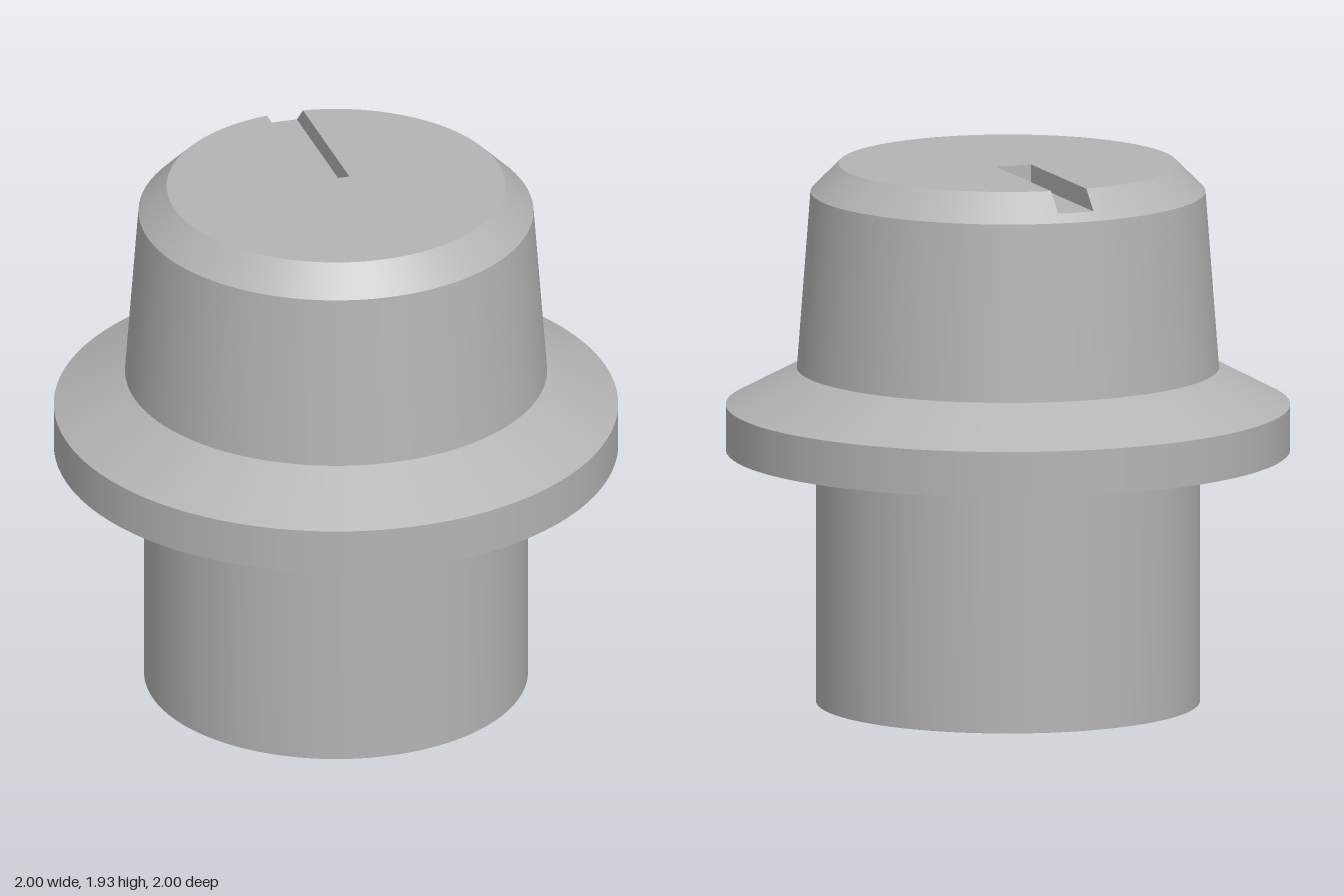
import * as THREE from 'three';
import { mergeGeometries, toCreasedNormals } from 'three/addons/utils/BufferGeometryUtils.js';

const SEG = 96;
const TOP = 1.933, CHAMFER = 1.833, FLOOR = 1.863; // heights of the cap
const R_TOP = 0.6, R_FLOOR = 0.67;                 // cap edge and slot mouth radii
const W = 0.067, Z_IN = 0.055;                     // slot half width and inner end

// Turned surface with sharp edges between successive [radius, height] points
function turned(points) {
  const bands = [];
  for (let i = 0; i < points.length - 1; i++) {
    bands.push(new THREE.LatheGeometry([points[i], points[i + 1]].map(p => new THREE.Vector2(...p)), SEG));
  }
  return mergeGeometries(bands);
}

// Flat horizontal face; shape y points to the back
function flat(shape, y) {
  return new THREE.ShapeGeometry(shape, SEG).rotateX(-Math.PI / 2).translate(0, y, 0);
}

// Flat quad, corners counter-clockwise
function quad(a, b, c, d) {
  const g = new THREE.BufferGeometry();
  g.setAttribute('position', new THREE.Float32BufferAttribute([a, b, c, a, c, d].flat(), 3));
  g.computeVertexNormals();
  return g;
}

// Upper part of the chamfer, opened at the back for the slot
function slottedChamfer() {
  const g = new THREE.LatheGeometry(
    [new THREE.Vector2(R_FLOOR, FLOOR), new THREE.Vector2(R_TOP, TOP)], SEG);
  const { position, normal, uv } = g.attributes;
  for (let i = 0; i < position.count; i++) {
    const r = Math.hypot(position.getX(i), position.getZ(i));
    const gap = Math.asin(W / r);
    const a = Math.PI + gap + uv.getX(i) * 2 * (Math.PI - gap);
    position.setXYZ(i, r * Math.sin(a), position.getY(i), r * Math.cos(a));
    normal.setXYZ(i, Math.sin(a) * Math.SQRT1_2, Math.SQRT1_2, Math.cos(a) * Math.SQRT1_2);
  }
  return g;
}

export function createModel() {
  const group = new THREE.Group();
  const grey = new THREE.MeshStandardMaterial({ color: 0xb4b4b4 });
  grey.name = 'plain grey';
  const add = (name, geometry) => {
    const mesh = new THREE.Mesh(geometry, grey);
    mesh.name = name;
    group.add(mesh);
  };

  // Stem with a D-shaped shaft hole
  const ring = new THREE.Shape().absarc(0, 0, 0.68, 0, Math.PI * 2);
  const hole = new THREE.Path();
  const flatAngle = Math.acos(0.26 / 0.517);
  hole.absarc(0, 0, 0.517, flatAngle, Math.PI * 2 - flatAngle);
  hole.closePath();
  ring.holes.push(hole);
  const stem = new THREE.ExtrudeGeometry(ring, { depth: 1, bevelEnabled: false, curveSegments: SEG });
  add('stem', toCreasedNormals(stem.rotateX(-Math.PI / 2), 0.6));
  add('shaftHoleEnd', new THREE.CircleGeometry(0.55, SEG).rotateX(Math.PI / 2).translate(0, 1, 0));

  // Flange and tapered grip
  add('flange', turned([[0.68, 0.904], [1, 0.904], [1, 1.067], [0.748, 1.2]]));
  add('grip', turned([[0.748, 1.2], [0.7, CHAMFER], [R_FLOOR, FLOOR]]));
  add('chamfer', slottedChamfer());

  // Top face, notched for the slot
  const topGap = Math.asin(W / R_TOP);
  const top = new THREE.Shape();
  top.absarc(0, 0, R_TOP, Math.PI / 2 + topGap, Math.PI * 2.5 - topGap);
  top.lineTo(W, Z_IN);
  top.lineTo(-W, Z_IN);
  top.closePath();
  add('topFace', flat(top, TOP));

  // Pointer slot: floor, two sides and inner end
  const mouthGap = Math.asin(W / R_FLOOR);
  const floor = new THREE.Shape();
  floor.absarc(0, 0, R_FLOOR, Math.PI / 2 - mouthGap, Math.PI / 2 + mouthGap);
  floor.lineTo(-W, Z_IN);
  floor.lineTo(W, Z_IN);
  floor.closePath();
  add('slotFloor', flat(floor, FLOOR));
  const zMouth = -Math.sqrt(R_FLOOR ** 2 - W ** 2), zTop = -Math.sqrt(R_TOP ** 2 - W ** 2);
  for (const s of [1, -1]) {
    const corners = [[s * W, FLOOR, zMouth], [s * W, FLOOR, -Z_IN], [s * W, TOP, -Z_IN], [s * W, TOP, zTop]];
    add(s > 0 ? 'slotLeftWall' : 'slotRightWall', quad(...(s > 0 ? corners : corners.reverse())));
  }
  add('slotEnd', quad([W, FLOOR, -Z_IN], [-W, FLOOR, -Z_IN], [-W, TOP, -Z_IN], [W, TOP, -Z_IN]));

  return group;
}
